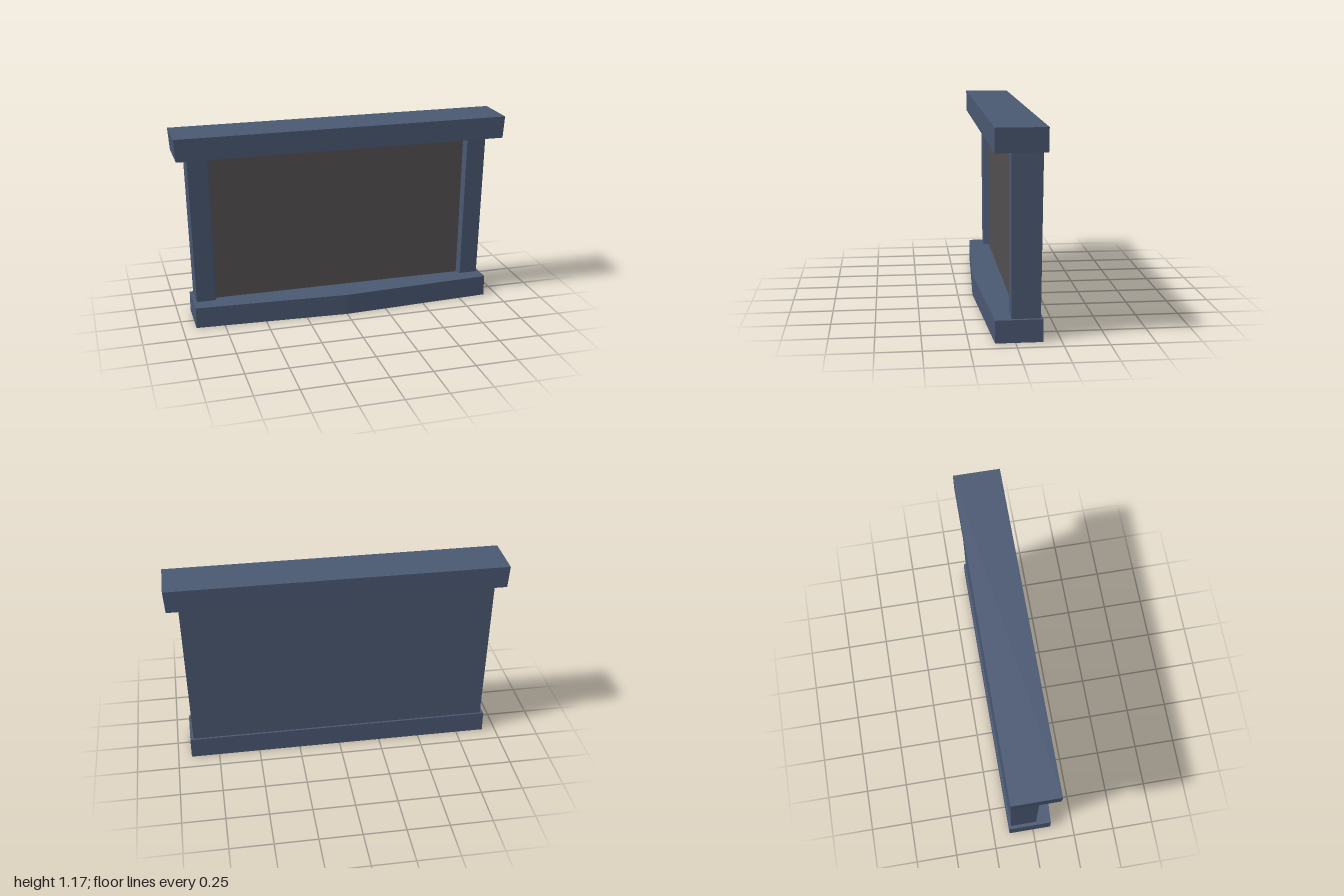
import * as THREE from 'three';

const blue = new THREE.MeshStandardMaterial({ color: 0x4a5872 });
blue.name = 'slate blue';
const grey = new THREE.MeshStandardMaterial({ color: 0x524f50 });
grey.name = 'dark grey';

// Six-sided block whose corners come from a rule: place(sx, sy, sz) with signs of -1 or 1.
function block(name, place, material = blue) {
  const geometry = new THREE.BoxGeometry(2, 2, 2);
  const p = geometry.attributes.position;
  for (let i = 0; i < p.count; i++) {
    p.setXYZ(i, ...place(Math.sign(p.getX(i)), Math.sign(p.getY(i)), Math.sign(p.getZ(i))));
  }
  geometry.computeVertexNormals();
  const mesh = new THREE.Mesh(geometry, material);
  mesh.name = name;
  return mesh;
}

export function createModel() {
  const group = new THREE.Group();
  group.name = 'framedPanel';

  const baseTop = 0.127, capBottom = 1.035, capTop = 1.167;
  const panelZ = -0.015;
  const level = (sy) => (sy > 0 ? capBottom : baseTop);
  const outer = (sy) => (sy > 0 ? 0.92 : 0.9);
  const frontZ = (sy) => (sy > 0 ? 0.024 : 0.02);
  const backZ = (sy) => (sy > 0 ? -0.144 : -0.138);

  // Plinth with a shallow pointed front
  const outline = new THREE.Shape([
    [-0.92, 0.15], [-0.92, -0.11], [0, -0.16], [0.92, -0.11], [0.92, 0.15],
  ].map(([x, y]) => new THREE.Vector2(x, y)));
  const plinth = new THREE.Mesh(
    new THREE.ExtrudeGeometry(outline, { depth: baseTop, bevelEnabled: false }).rotateX(-Math.PI / 2),
    blue,
  );
  plinth.name = 'plinth';
  group.add(plinth);

  // Back slab, its front face being the recessed grey panel
  group.add(block('backSlab', (sx, sy, sz) => [
    sx * outer(sy), level(sy), sz > 0 ? panelZ : backZ(sy),
  ], [blue, blue, blue, blue, grey, blue]));

  // Tapered side posts in front of the slab, with splayed inner faces
  for (const side of [-1, 1]) {
    group.add(block(side > 0 ? 'leftPost' : 'rightPost', (sx, sy, sz) => {
      const inner = (sy > 0 ? 0.79 : 0.775) + (sz > 0 ? 0.013 : 0);
      const x = sx === side ? outer(sy) : inner;
      return [side * x, level(sy), sz > 0 ? frontZ(sy) : panelZ];
    }));
  }

  // Top beam, slightly narrower underneath
  group.add(block('topBeam', (sx, sy, sz) => [
    sx * (sy > 0 ? 1 : 0.99), sy > 0 ? capTop : capBottom, sz > 0 ? 0.12 : -0.16,
  ]));

  return group;
}
